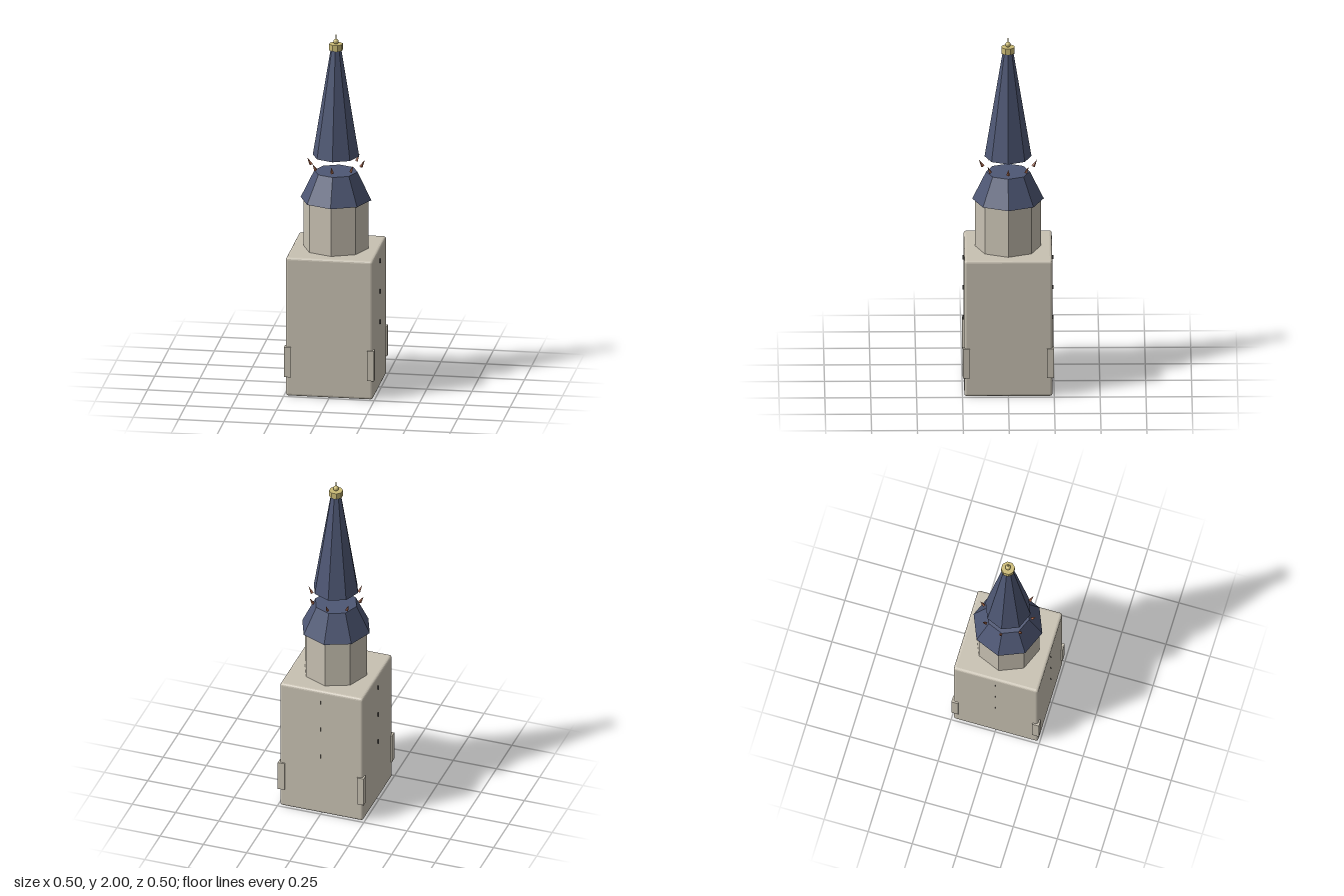
import * as THREE from 'three';
import { RoundedBoxGeometry } from 'three/addons/geometries/RoundedBoxGeometry.js';

const mat = (name, color, opts = {}) => {
  const m = new THREE.MeshStandardMaterial({ color, ...opts });
  m.name = name;
  return m;
};

export function createModel() {
  const group = new THREE.Group();
  const stone = mat('stone', 0xc8c1b2, { flatShading: true });
  const slate = mat('slate', 0x4e5774, { flatShading: true });
  const gold = mat('gold', 0xcbbb76, { flatShading: true });
  const goldSmooth = gold.clone();
  goldSmooth.flatShading = false;
  const copper = mat('copper', 0xa8694f, { flatShading: true });
  const dark = mat('dark', 0x3c3a38, { side: THREE.DoubleSide });

  const add = (name, geometry, material, x = 0, y = 0, z = 0) => {
    const mesh = new THREE.Mesh(geometry, material);
    mesh.name = name;
    mesh.position.set(x, y, z);
    group.add(mesh);
    return mesh;
  };
  // Eight-sided frustum between two heights
  const octagon = (name, rTop, rBottom, y0, y1, material) =>
    add(name, new THREE.CylinderGeometry(rTop, rBottom, y1 - y0, 8), material, 0, (y0 + y1) / 2, 0);

  // Square tower with softened edges
  add('towerBase', new RoundedBoxGeometry(0.48, 0.79, 0.48, 2, 0.014), stone, 0, 0.395, 0);

  // Corner buttresses
  for (const sx of [-1, 1]) for (const sz of [-1, 1])
    add('cornerButtress', new THREE.BoxGeometry(0.039, 0.17, 0.039), stone, sx * 0.229, 0.195, sz * 0.229);

  // Small fins standing out from the middle of each wall
  for (let i = 0; i < 4; i++) {
    const a = (i * Math.PI) / 2;
    for (const y of [0.372, 0.547, 0.722]) {
      const fin = add('wallFin', new THREE.PlaneGeometry(0.016, 0.025), dark,
        Math.cos(a) * 0.24, y, -Math.sin(a) * 0.24);
      fin.rotation.y = a;
    }
  }

  // Octagonal drum, roof skirt and the spire floating above it
  octagon('drum', 0.18, 0.18, 0.78, 1.07, stone);
  octagon('roofSkirt', 0.119, 0.195, 1.065, 1.222, slate);
  octagon('spire', 0.029, 0.128, 1.312, 1.92, slate);

  // Ring of outward-leaning thorns in the gap
  const lean = 0.5;
  for (let i = 0; i < 8; i++) {
    const pivot = new THREE.Group();
    pivot.name = 'thornMount';
    pivot.rotation.y = (i * Math.PI) / 4;
    const thorn = new THREE.Mesh(new THREE.ConeGeometry(0.01, 0.045, 4), copper);
    thorn.name = 'thorn';
    thorn.position.set(0.148, 1.273, 0);
    thorn.rotation.z = -lean;
    pivot.add(thorn);
    group.add(pivot);
  }

  // Finial: octagonal collar, ball and rod
  octagon('finialCollar', 0.038, 0.038, 1.915, 1.95, gold).rotation.y = Math.PI / 8;
  add('finialBall', new THREE.SphereGeometry(0.015, 16, 12), goldSmooth, 0, 1.963, 0);
  add('finialRod', new THREE.CylinderGeometry(0.004, 0.002, 0.026, 8), goldSmooth, 0, 1.987, 0);

  return group;
}
